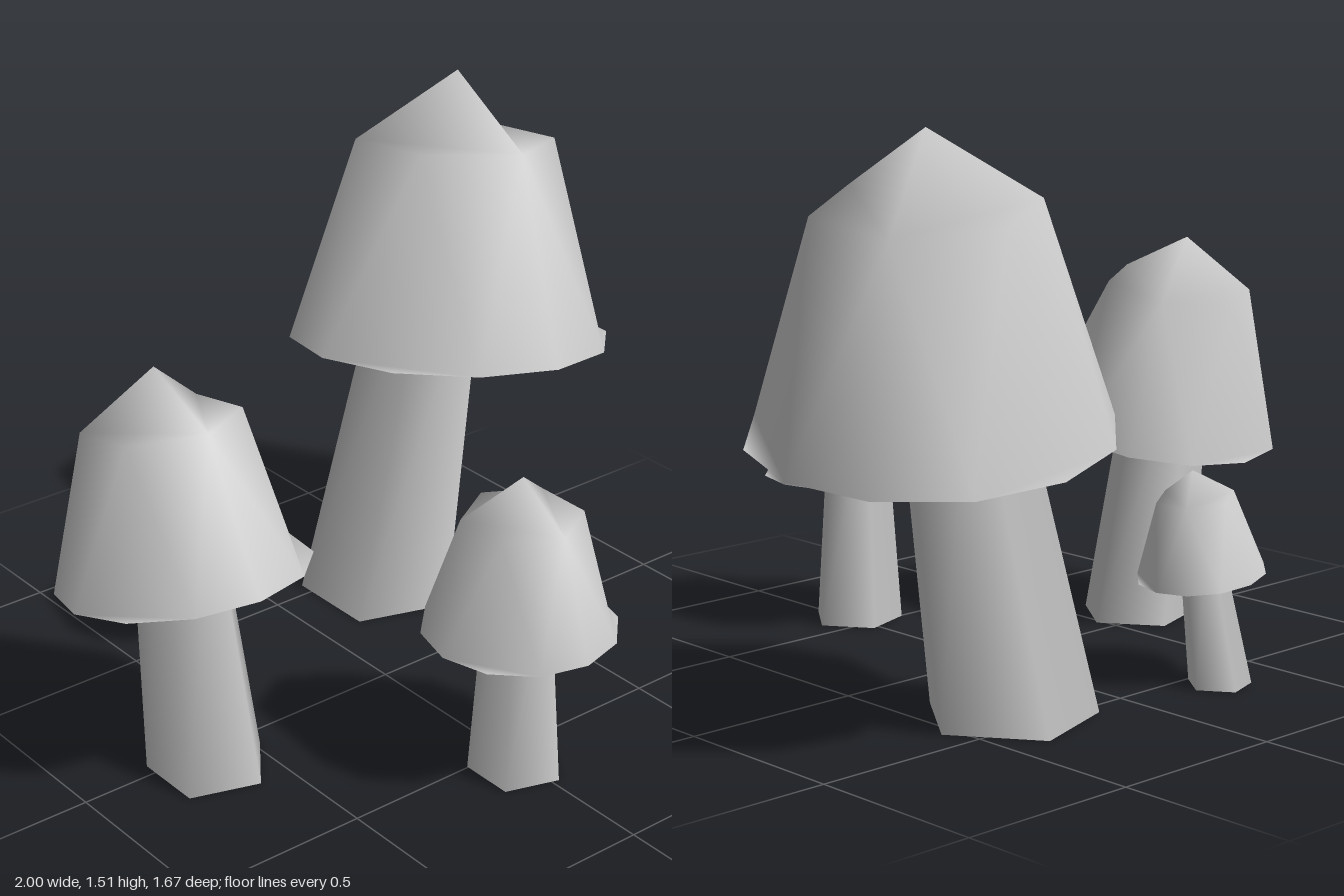
import * as THREE from 'three';

const material = new THREE.MeshStandardMaterial({ color: 0xcccccc, side: THREE.DoubleSide });

// Open cap of unit rim radius: 12-point rim, 6-point shoulder, 3-sided tip
function capGeometry() {
  const positions = [], index = [];
  const ring = (count, radius, y, start) => {
    for (let i = 0; i < count; i++) {
      const a = start + (i / count) * Math.PI * 2;
      positions.push(radius * Math.cos(a), y, radius * Math.sin(a));
    }
  };
  ring(12, 1, 0, 0);
  ring(6, 0.615, 1.23, Math.PI / 6);
  positions.push(0, 1.65, 0);
  const rim = k => (k + 12) % 12;
  const shoulder = j => 12 + (j + 6) % 6;
  const tip = 18;

  for (let j = 0; j < 6; j++) {
    const k = 2 * j + 1, t = shoulder(j);
    const a = rim(k - 1), b = rim(k), c = rim(k + 1);
    index.push(t, shoulder(j + 1), c);
    if (j % 2) {
      // full fan of the wall, and one side of the tip
      index.push(t, c, b, t, b, a, tip, shoulder(j + 2), t);
    } else {
      // flat wall with a small flap at the rim and a ledge at the shoulder
      index.push(t, c, a, c, b, a, shoulder(j + 1), t, shoulder(j - 1));
    }
  }
  const g = new THREE.BufferGeometry();
  g.setAttribute('position', new THREE.Float32BufferAttribute(positions, 3));
  g.setIndex(index);
  g.computeVertexNormals();
  return g;
}

// Five-sided tapered stem, sheared from its foot to its top
function stemGeometry([x0, z0, r0], [x1, y1, z1, r1]) {
  const g = new THREE.CylinderGeometry(r1, r0, y1, 5, 1, false, Math.PI / 2);
  g.translate(0, y1 / 2, 0);
  const p = g.attributes.position;
  for (let i = 0; i < p.count; i++) {
    const t = p.getY(i) / y1;
    p.setX(i, p.getX(i) + x0 + (x1 - x0) * t);
    p.setZ(i, p.getZ(i) + z0 + (z1 - z0) * t);
  }
  return g;
}

// foot: x, z, radius; top: x, y, z, radius; axis: direction the cap points
const mushrooms = [
  { name: 'largeMushroom', foot: [0.313, -0.41, 0.232], top: [0.55, 1.05, -0.43, 0.15],
    rim: [0.54, 0.76, -0.373], radius: 0.464, axis: [0.125, 1, -0.115] },
  { name: 'mediumMushroom', foot: [-0.647, 0.058, 0.166], top: [-0.65, 0.8, -0.055, 0.115],
    rim: [-0.665, 0.563, 0], radius: 0.337, axis: [0, 1, -0.189] },
  { name: 'smallMushroom', foot: [-0.02, 0.573, 0.13], top: [-0.02, 0.62, 0.573, 0.086],
    rim: [-0.02, 0.43, 0.573], radius: 0.26, axis: [0, 1, 0] },
  { name: 'tinyMushroom', foot: [-0.283, -0.587, 0.088], top: [-0.248, 0.43, -0.532, 0.055],
    rim: [-0.277, 0.29, -0.525], radius: 0.173, axis: [0.134, 1, 0] },
];

export function createModel() {
  const model = new THREE.Group();
  model.name = 'mushrooms';
  const capShape = capGeometry();
  for (const m of mushrooms) {
    const group = new THREE.Group();
    group.name = m.name;

    const stem = new THREE.Mesh(stemGeometry(m.foot, m.top), material);
    stem.name = 'stem';

    const cap = new THREE.Mesh(capShape, material);
    cap.name = 'cap';
    cap.position.set(...m.rim);
    cap.scale.setScalar(m.radius);
    cap.quaternion.setFromUnitVectors(new THREE.Vector3(0, 1, 0), new THREE.Vector3(...m.axis).normalize());

    group.add(stem, cap);
    model.add(group);
  }
  return model;
}
